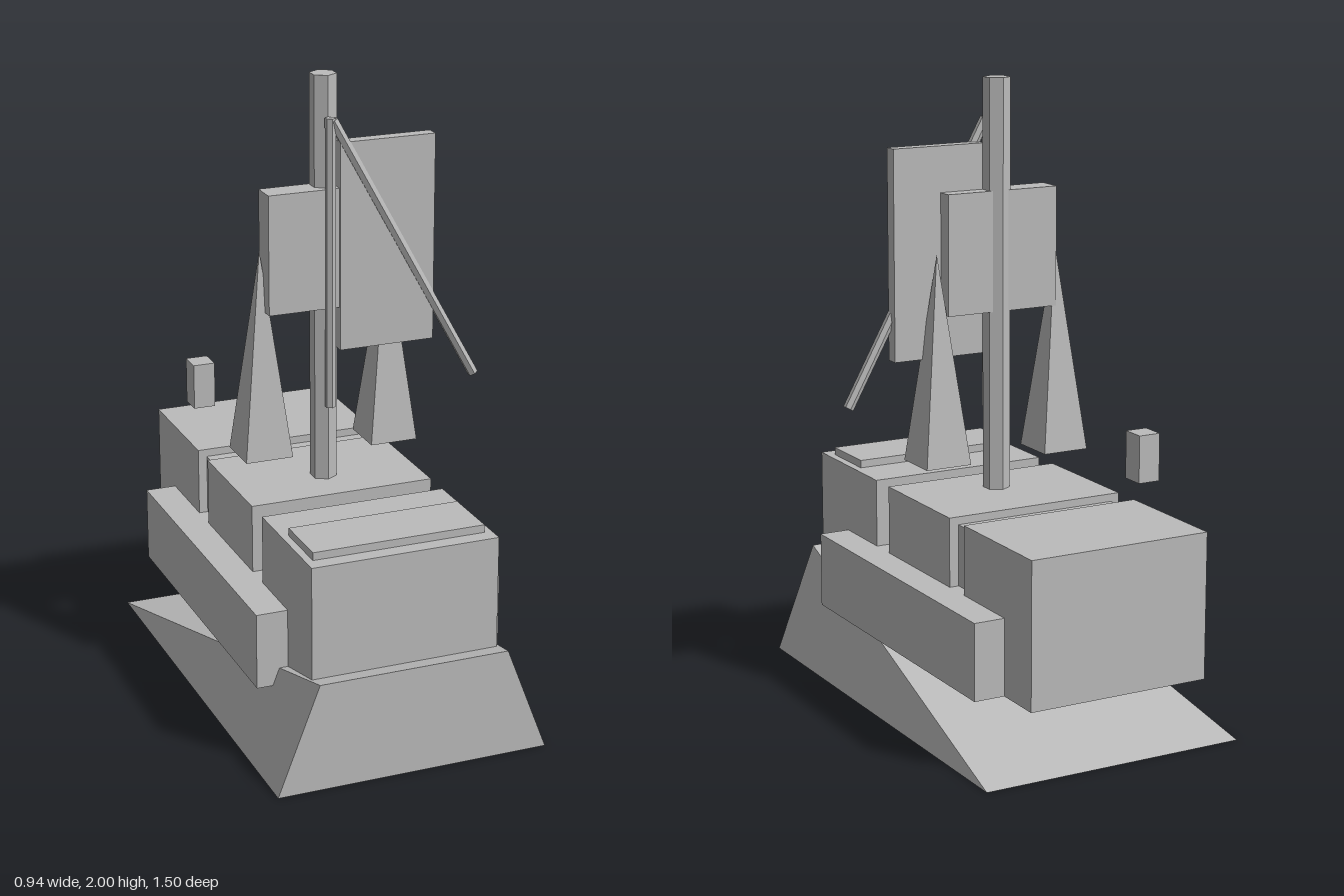
import * as THREE from 'three';

export function createModel() {
  const model = new THREE.Group();
  model.name = 'ship';
  const grey = new THREE.MeshStandardMaterial({ color: 0xbbbbbb });
  grey.name = 'plain grey';

  function add(name, geometry, x = 0, y = 0, z = 0) {
    const flat = geometry.index ? geometry.toNonIndexed() : geometry;
    flat.computeVertexNormals();
    const mesh = new THREE.Mesh(flat, grey);
    mesh.name = name;
    mesh.position.set(x, y, z);
    model.add(mesh);
    return mesh;
  }

  // Box given by its extents on each axis
  function box(name, x0, x1, y0, y1, z0, z1) {
    return add(name, new THREE.BoxGeometry(x1 - x0, y1 - y0, z1 - z0),
      (x0 + x1) / 2, (y0 + y1) / 2, (z0 + z1) / 2);
  }

  // Six-sided rod between two points
  function rod(name, from, to, radius) {
    const a = new THREE.Vector3(...from), b = new THREE.Vector3(...to);
    const dir = b.clone().sub(a);
    const mesh = add(name, new THREE.CylinderGeometry(radius, radius, dir.length(), 6));
    mesh.position.copy(a).add(b).multiplyScalar(0.5);
    mesh.quaternion.setFromUnitVectors(new THREE.Vector3(0, 1, 0), dir.normalize());
    return mesh;
  }

  // Keel wedge: full height at the front, tapering to the ground at the back
  const wedge = new THREE.BufferGeometry();
  wedge.setAttribute('position', new THREE.Float32BufferAttribute([
    -0.475, 0, -0.73, 0.407, 0, -0.73,
    -0.475, 0, 0.748, 0.407, 0, 0.748,
    -0.34, 0.348, 0.748, 0.273, 0.348, 0.748,
  ], 3));
  wedge.setIndex([
    0, 1, 3, 0, 3, 2, // bottom
    2, 3, 5, 2, 5, 4, // front
    0, 4, 5, 0, 5, 1, // slope
    0, 2, 4, 1, 5, 3, // sides
  ]);
  add('keelWedge', wedge);

  // Hull and the three deck blocks
  box('hull', -0.438, 0.37, 0.228, 0.472, -0.587, 0.475);
  for (const [name, z0, z1] of [
    ['frontBlock', 0.26, 0.674], ['middleBlock', -0.243, 0.172], ['backBlock', -0.748, -0.335],
  ]) box(name, -0.337, 0.269, 0.228, 0.693, z0, z1);
  box('blockConnector', -0.308, 0.238, 0.45, 0.668, -0.36, -0.22);
  box('frontHatch', -0.313, 0.244, 0.66, 0.718, 0.425, 0.623);
  box('chimney', -0.312, -0.24, 0.8, 0.95, -0.516, -0.438);

  // Slender pyramids either side of the mast
  for (const [name, x] of [['rightPyramid', -0.244], ['leftPyramid', 0.178]]) {
    const pyramid = new THREE.ConeGeometry(0.11, 0.663, 4);
    pyramid.rotateY(Math.PI / 4);
    add(name, pyramid, x, 0.8 + 0.3315, 0.007);
  }

  // Mast, sails and spars
  rod('mast', [-0.034, 0.6, 0.009], [-0.034, 2, 0.009], 0.043);
  box('smallSail', -0.235, 0.15, 1.268, 1.65, -0.018, 0.067);
  box('largeSail', -0.003, 0.312, 1.13, 1.795, 0.032, 0.075);
  rod('uprightSpar', [-0.034, 0.945, 0.069], [-0.034, 1.873, 0.069], 0.017);
  rod('diagonalSpar', [-0.027, 1.866, 0.069], [0.457, 0.993, 0.069], 0.017);

  return model;
}
